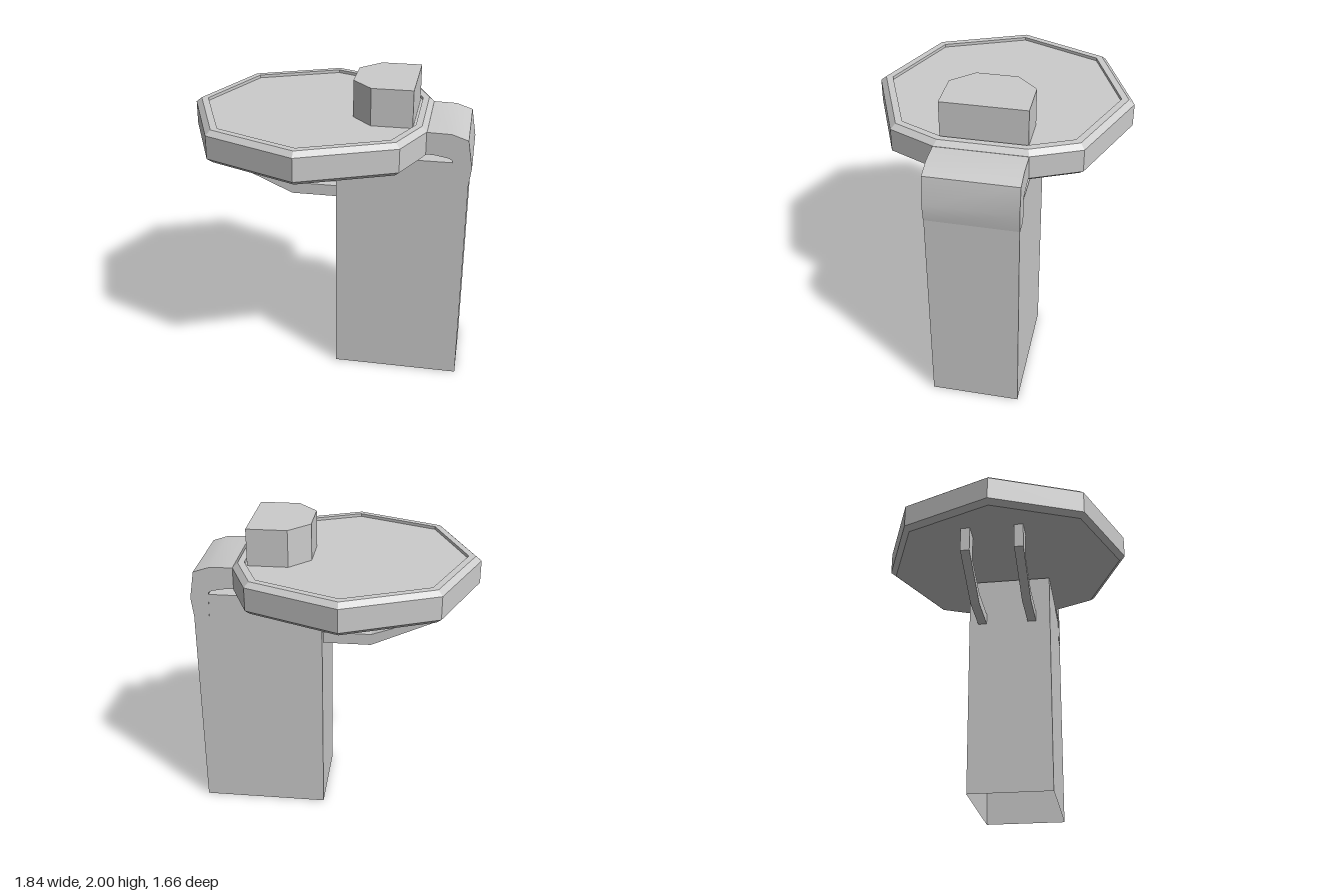
import * as THREE from 'three';
import { toCreasedNormals } from 'three/addons/utils/BufferGeometryUtils.js';

const grey = () => new THREE.MeshStandardMaterial({ color: 0xcccccc, side: THREE.DoubleSide });

function part(name, geometry, parent) {
  const mesh = new THREE.Mesh(geometry, grey());
  mesh.name = name;
  parent.add(mesh);
  return mesh;
}

// Extrude an [x, y] outline along z between z0 and z1
function slab(points, z0, z1) {
  const shape = new THREE.Shape(points.map(([x, y]) => new THREE.Vector2(x, y)));
  return new THREE.ExtrudeGeometry(shape, { depth: z1 - z0, bevelEnabled: false }).translate(0, 0, z0);
}

// Stack scaled copies of an [x, z] outline; each level is [scale, y]
function stack(outline, levels) {
  const pos = [];
  const n = outline.length;
  const at = (i, [s, y]) => [outline[i % n][0] * s, y, outline[i % n][1] * s];
  for (let k = 0; k < levels.length - 1; k++) {
    const lo = levels[k], hi = levels[k + 1];
    for (let i = 0; i < n; i++) {
      if (hi[0] > 0) pos.push(...at(i, lo), ...at(i, hi), ...at(i + 1, hi));
      if (lo[0] > 0) pos.push(...at(i, lo), ...at(i + 1, hi), ...at(i + 1, lo));
    }
  }
  const g = new THREE.BufferGeometry();
  g.setAttribute('position', new THREE.Float32BufferAttribute(pos, 3));
  g.computeVertexNormals();
  return g;
}

export function createModel() {
  const model = new THREE.Group();
  model.name = 'octagonalTableOnPost';

  // Hollow post, open at the bottom
  const post = new THREE.BoxGeometry(0.83, 1.56, 0.57).translate(0.485, 0.78, 0.003);
  const index = Array.from(post.index.array);
  index.splice(18, 6);
  post.setIndex(index);
  post.clearGroups();
  part('post', post, model);

  // Curved arm joining the post to the tray
  const arm = slab([
    [0.90, 1.41], [0.915, 1.53], [0.885, 1.71], [0.78, 1.745], [0.58, 1.75],
    [0.58, 1.607], [0.69, 1.602], [0.77, 1.587], [0.795, 1.572], [0.80, 1.41],
  ], -0.284, 0.29);
  part('curvedArm', toCreasedNormals(arm, 1.0), model);

  // Octagonal tray with one corner cut off, chamfered rim and sunken floor
  const R = 0.83, c = R * Math.SQRT1_2;
  const outline = [
    [0.72, 0.285], [c, c], [0, R], [-c, c], [-R, 0], [-c, -c], [0, -R], [c, -c], [0.72, -0.285],
  ];
  const tray = part('tray', stack(outline, [
    [0, 1.57], [0.955, 1.57], [1, 1.6], [1, 1.75], [0.955, 1.78], [0.9, 1.78], [0.9, 1.76], [0, 1.76],
  ]), model);
  tray.position.x = -0.09;

  // Block standing on the tray, corners cut on one side
  const block = slab([
    [0.54, -0.27], [0.54, 0.265], [0.28, 0.265], [0.15, 0.13], [0.15, -0.13], [0.28, -0.27],
  ], 1.75, 2.0).rotateX(-Math.PI / 2);
  part('topBlock', block, model);

  // Pair of bent braces under the tray
  for (const z of [-0.19, 0.16]) {
    part('brace', slab([
      [-0.64, 1.58], [-0.64, 1.405], [-0.24, 1.225], [0.08, 1.225],
      [0.08, 1.3], [-0.24, 1.3], [-0.52, 1.4], [-0.52, 1.58],
    ], z - 0.03, z + 0.03), model);
  }
  return model;
}
